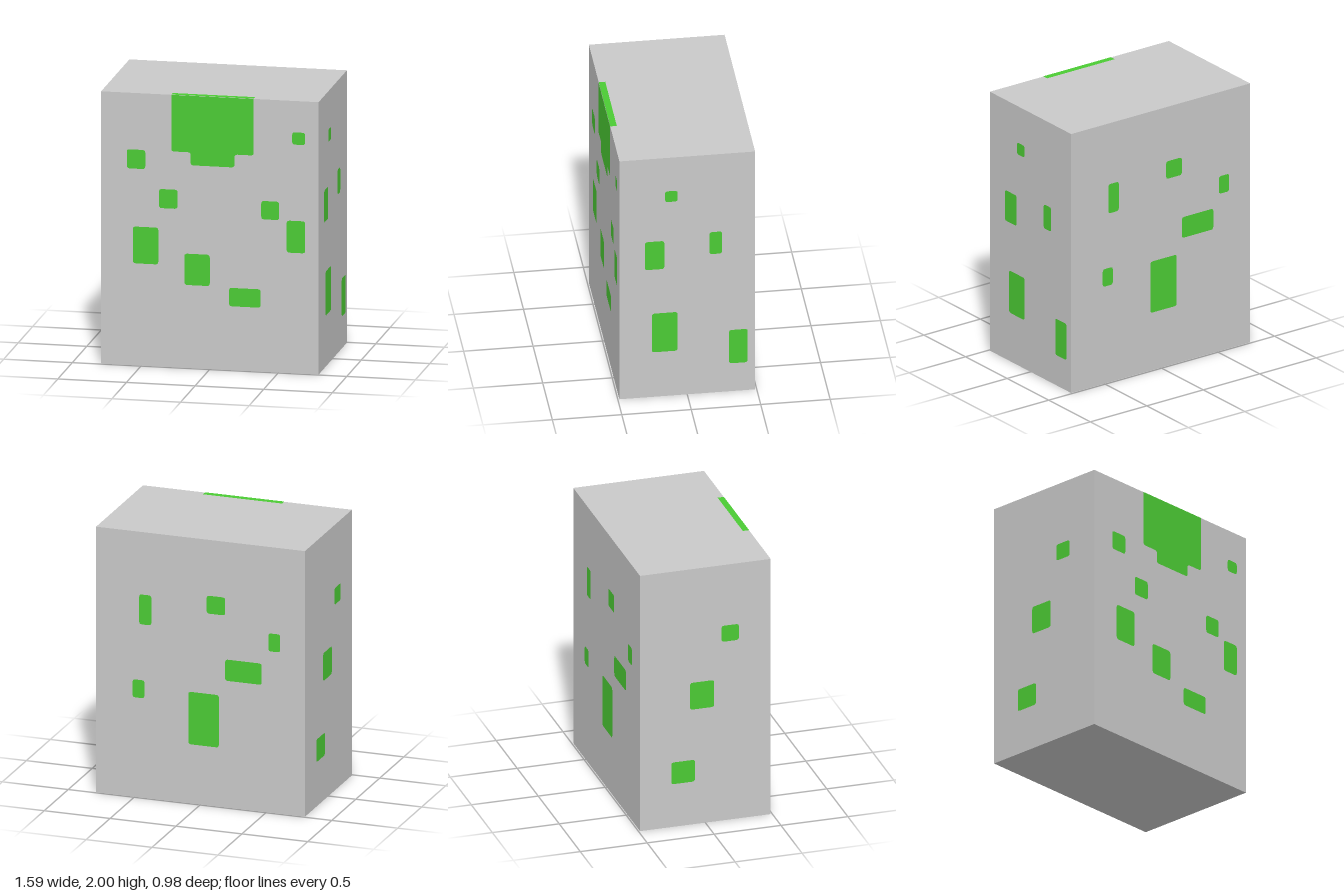
import * as THREE from 'three';

const W = 1.585, H = 2, D = 0.977, LIFT = 0.002;

// Polygon whose corners are softened; each point is [x, y, radius]
function softShape(points) {
  const shape = new THREE.Shape();
  const n = points.length;
  points.forEach(([x, y, r], i) => {
    const toward = ([px, py]) => {
      const length = Math.hypot(px - x, py - y);
      return [x + ((px - x) * r) / length, y + ((py - y) * r) / length];
    };
    const start = toward(points[(i + n - 1) % n]);
    const end = toward(points[(i + 1) % n]);
    if (i === 0) shape.moveTo(...start);
    else shape.lineTo(...start);
    if (r > 0) shape.quadraticCurveTo(x, y, ...end);
  });
  shape.closePath();
  return shape;
}

// Rectangle with soft corners
function softRect(x0, x1, y0, y1, r = 0.02) {
  return softShape([[x0, y0, r], [x1, y0, r], [x1, y1, r], [x0, y1, r]]);
}

// Patches on each side: [from, to, bottom, top], along world x (front, back) or z (sides)
const sides = [
  { name: 'front', turn: 0, sign: 1, offset: D / 2, patches: [
    [-0.605, -0.47, 1.445, 1.585], [-0.37, -0.235, 1.165, 1.305],
    [-0.56, -0.375, 0.75, 1.02], [-0.185, 0, 0.61, 0.84],
    [0.14, 0.37, 0.47, 0.605], [0.375, 0.505, 1.12, 1.255],
    [0.56, 0.695, 0.885, 1.12], [0.6, 0.695, 1.68, 1.77],
  ] },
  { name: 'positiveX', turn: Math.PI / 2, sign: -1, offset: W / 2, patches: [
    [0.07, 0.16, 1.63, 1.72], [0.165, 0.305, 1.07, 1.305],
    [-0.25, -0.16, 1.165, 1.35], [0.07, 0.255, 0.375, 0.7],
    [-0.435, -0.3, 0.235, 0.515],
  ] },
  { name: 'back', turn: Math.PI, sign: -1, offset: D / 2, patches: [
    [0.372, 0.465, 1.305, 1.53], [-0.187, -0.047, 1.445, 1.58],
    [-0.605, -0.515, 1.215, 1.35], [-0.465, -0.187, 0.955, 1.115],
    [0.425, 0.515, 0.75, 0.885], [-0.14, 0.092, 0.445, 0.84],
  ] },
  { name: 'negativeX', turn: -Math.PI / 2, sign: 1, offset: W / 2, patches: [
    [0.12, 0.25, 1.4, 1.525], [-0.115, 0.065, 0.9, 1.11],
    [-0.255, -0.078, 0.335, 0.505],
  ] },
];

export function createModel() {
  const model = new THREE.Group();
  const gray = new THREE.MeshStandardMaterial({ color: 0xc9c9c9 });
  gray.name = 'light gray';
  const green = new THREE.MeshStandardMaterial({ color: 0x4bcb34 });
  green.name = 'bright green';

  // Solid block
  const block = new THREE.Mesh(new THREE.BoxGeometry(W, H, D), gray);
  block.name = 'block';
  block.position.y = H / 2;
  model.add(block);

  // Scattered patches, one group for each side
  for (const { name, turn, sign, offset, patches } of sides) {
    const group = new THREE.Group();
    group.name = `${name}Patches`;
    group.rotation.y = turn;
    for (const [a, b, y0, y1] of patches) {
      const from = Math.min(a * sign, b * sign);
      const to = Math.max(a * sign, b * sign);
      const patch = new THREE.Mesh(new THREE.ShapeGeometry(softRect(from, to, y0, y1), 3), green);
      patch.name = 'patch';
      patch.position.z = offset + LIFT;
      group.add(patch);
    }
    model.add(group);
  }

  // Large stepped patch hanging from the top front edge
  const stepped = softShape([
    [-0.28, H, 0], [-0.28, 1.585, 0.02], [-0.14, 1.585, 0.02], [-0.14, 1.49, 0.02],
    [0.18, 1.49, 0.02], [0.18, 1.585, 0.02], [0.32, 1.585, 0.02], [0.32, H, 0],
  ]);
  const hanging = new THREE.Mesh(new THREE.ShapeGeometry(stepped, 3), green);
  hanging.name = 'steppedPatch';
  hanging.position.z = D / 2 + LIFT;
  model.add(hanging);

  // Strip where the stepped patch folds onto the top
  const strip = new THREE.Mesh(new THREE.PlaneGeometry(0.6, 0.047), green);
  strip.name = 'topStrip';
  strip.rotation.x = -Math.PI / 2;
  strip.position.set(0.02, H + LIFT, D / 2 - 0.0235);
  model.add(strip);

  return model;
}
